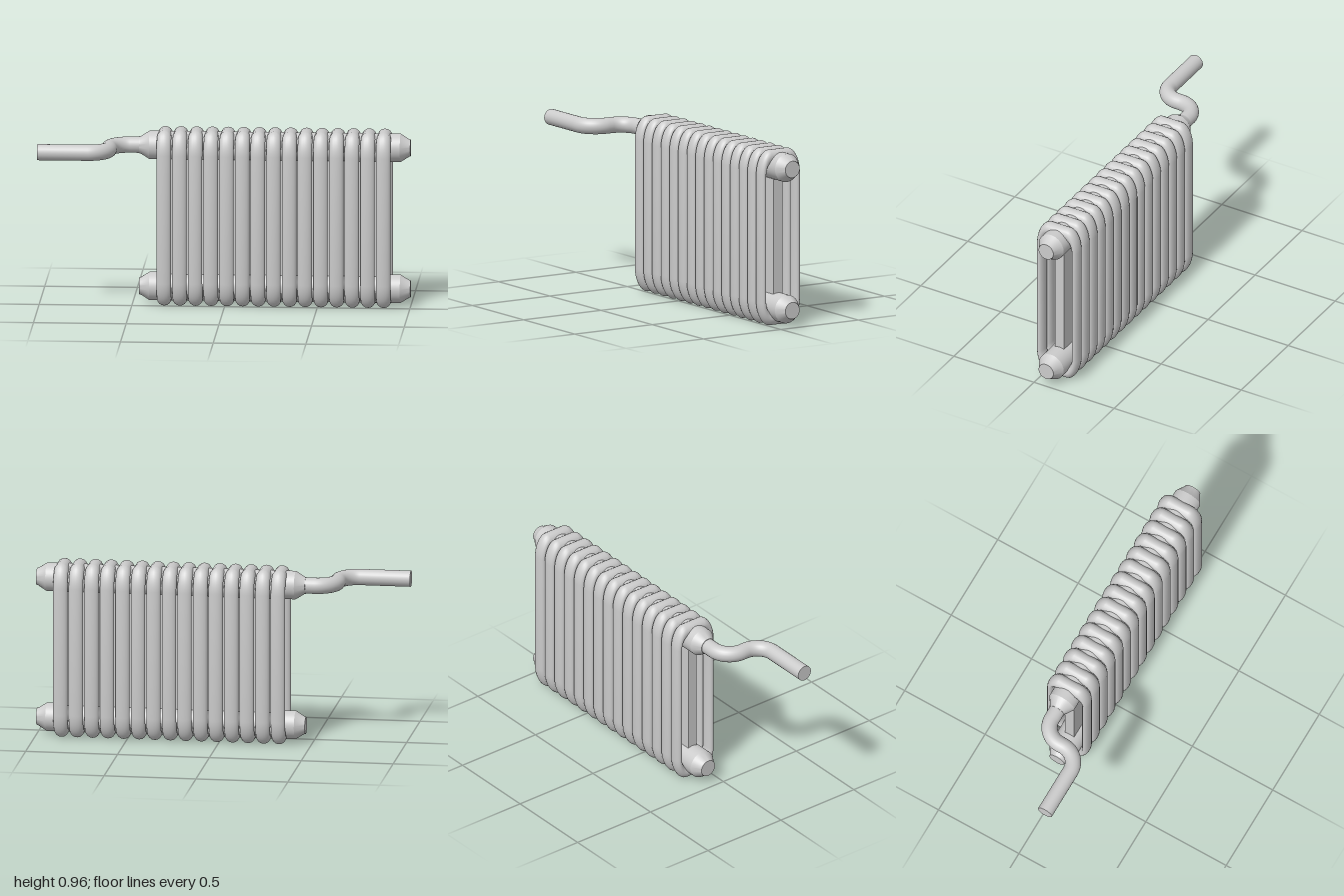
import * as THREE from 'three';
import { toCreasedNormals } from 'three/addons/utils/BufferGeometryUtils.js';

const Z = -0.075;             // depth of the radiator's centre plane
const TOP = 0.872, BOTTOM = 0.098;
const FIRST = -0.326, LAST = 0.858, COUNT = 15;

// Rounded loop: a torus whose quadrants are pulled apart, then flattened in depth
function columnGeometry() {
  const r = 0.039, bend = 0.1, seg = 48, flat = 0.52;
  const halfH = 0.481 - r, halfD = 0.129 / flat - r;
  const geo = new THREE.TorusGeometry(bend, r, 16, seg);
  geo.rotateZ(Math.PI / seg);   // no vertex on an axis, so the pulled segments stay straight
  const p = geo.attributes.position;
  // the offset follows the quadrant of each tube ring, not of each vertex
  for (let i = 0; i < p.count; i++) {
    const a = ((i % (seg + 1)) + 0.5) / seg * Math.PI * 2;
    p.setX(i, p.getX(i) + Math.sign(Math.cos(a)) * (halfD - bend));
    p.setY(i, p.getY(i) + Math.sign(Math.sin(a)) * (halfH - bend));
  }
  geo.rotateY(Math.PI / 2);
  geo.scale(1, 1, flat);
  return geo;
}

// Horizontal header with tapered, capped ends
function headerGeometry() {
  const profile = [
    [0, -0.463], [0.046, -0.463], [0.047, -0.456], [0.077, -0.408],
    [0.077, 0.945], [0.047, 0.993], [0.046, 1], [0, 1],
  ].map(([r, x]) => new THREE.Vector2(r, x));
  const geo = new THREE.LatheGeometry(profile, 40);
  geo.rotateZ(-Math.PI / 2);
  return toCreasedNormals(geo, 0.5);
}

// Supply pipe centreline: straight, S-bend made of two quarter turns, straight
function pipePath() {
  const v = (x, z) => new THREE.Vector3(x, TOP, z);
  const R = 0.107, k = R * 0.5523, x0 = -0.727, z0 = 0.162;
  const xm = x0 + R, x1 = xm + R;
  const path = new THREE.CurvePath();
  path.add(new THREE.LineCurve3(v(-1, z0), v(x0, z0)));
  path.add(new THREE.CubicBezierCurve3(v(x0, z0), v(x0 + k, z0), v(xm, z0 - R + k), v(xm, z0 - R)));
  path.add(new THREE.LineCurve3(v(xm, z0 - R), v(xm, Z + R)));
  path.add(new THREE.CubicBezierCurve3(v(xm, Z + R), v(xm, Z + R - k), v(x1 - k, Z), v(x1, Z)));
  path.add(new THREE.LineCurve3(v(x1, Z), v(-0.43, Z)));
  return path;
}

export function createModel() {
  const model = new THREE.Group();
  model.name = 'radiator';
  const mat = new THREE.MeshStandardMaterial({ color: 0xcccccc });
  const add = (name, geo, x, y, z) => {
    const mesh = new THREE.Mesh(geo, mat);
    mesh.name = name;
    mesh.position.set(x, y, z);
    model.add(mesh);
    return mesh;
  };

  // Looped columns
  const column = columnGeometry();
  for (let i = 0; i < COUNT; i++) {
    add('column' + (i + 1), column, FIRST + (LAST - FIRST) * i / (COUNT - 1), 0.484, Z);
  }

  // Headers
  const header = headerGeometry();
  add('upperHeader', header, 0, TOP, Z);
  add('lowerHeader', header, 0, BOTTOM, Z);

  // Flat core between the headers
  add('innerPanel', new THREE.BoxGeometry(LAST - FIRST, TOP - BOTTOM, 0.057),
    (FIRST + LAST) / 2, (TOP + BOTTOM) / 2, Z);

  // Supply pipe with its closed outer end
  add('supplyPipe', new THREE.TubeGeometry(pipePath(), 120, 0.0435, 24), 0, 0, 0);
  add('pipeEnd', new THREE.CircleGeometry(0.0435, 24), -1, TOP, 0.162).rotation.y = -Math.PI / 2;

  return model;
}
